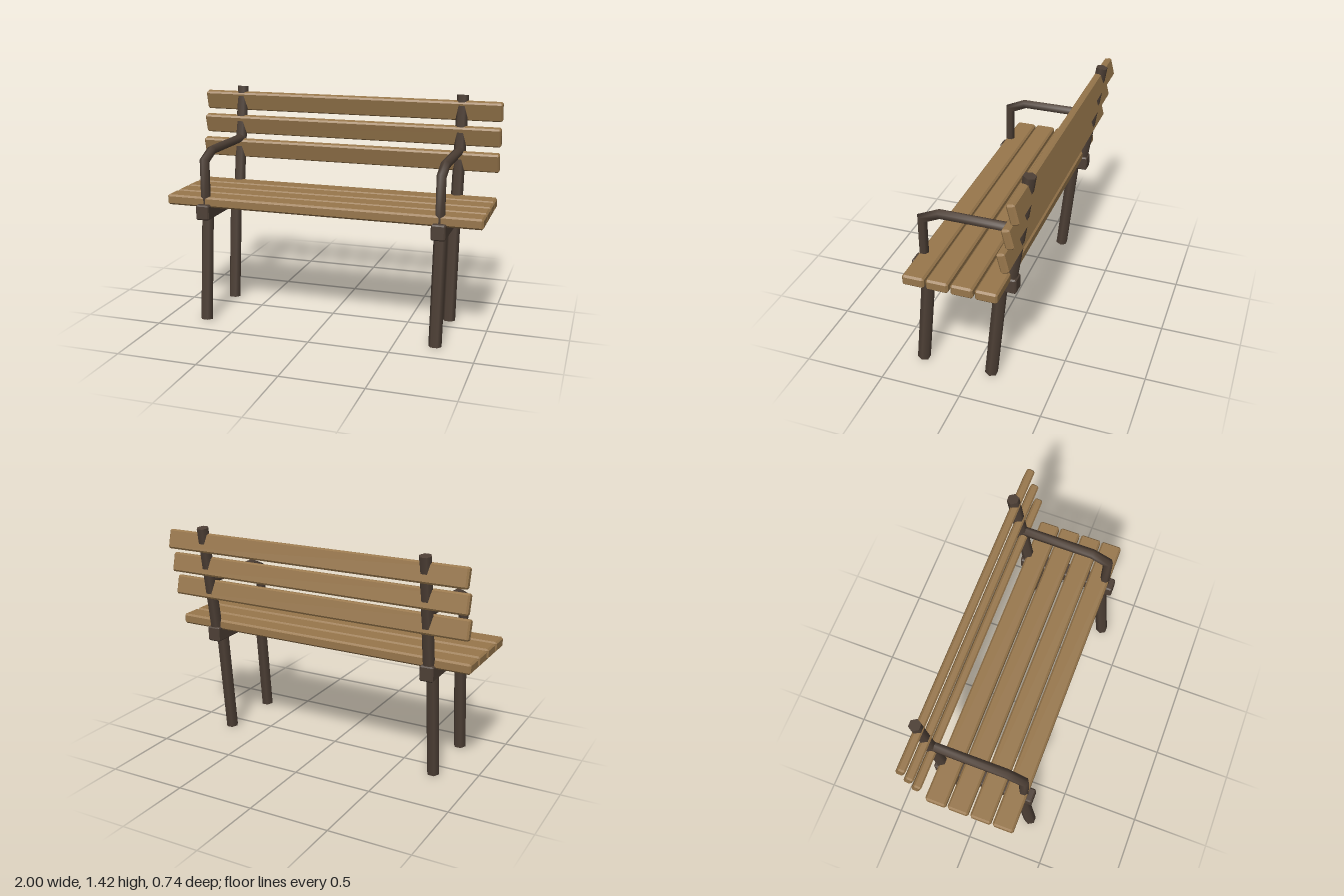
import * as THREE from 'three';
import { ConvexGeometry } from 'three/addons/geometries/ConvexGeometry.js';

const wood = new THREE.MeshStandardMaterial({ name: 'wood', color: 0x98774c });
const metal = new THREE.MeshStandardMaterial({ name: 'dark metal', color: 0x4e4036 });

// Box with every edge chamfered by c
function chamferBox(w, h, d, c) {
  const pts = [];
  for (const sx of [-1, 1]) for (const sy of [-1, 1]) for (const sz of [-1, 1]) {
    const x = w / 2, y = h / 2, z = d / 2;
    pts.push(
      new THREE.Vector3(sx * x, sy * (y - c), sz * (z - c)),
      new THREE.Vector3(sx * (x - c), sy * y, sz * (z - c)),
      new THREE.Vector3(sx * (x - c), sy * (y - c), sz * z));
  }
  return new ConvexGeometry(pts);
}

// Six-sided rod between two [y, z] points, with corners facing sideways
function rod(name, x, [y0, z0], [y1, z1], radius) {
  const length = Math.hypot(y1 - y0, z1 - z0);
  const geometry = new THREE.CylinderGeometry(radius, radius, length, 6, 1, false, Math.PI / 2);
  const mesh = new THREE.Mesh(geometry, metal);
  mesh.name = name;
  mesh.position.set(x, (y0 + y1) / 2, (z0 + z1) / 2);
  mesh.rotation.x = Math.atan2(z1 - z0, y1 - y0);
  return mesh;
}

// Six-sided bar following a mitred path of [y, z] points
function bentBar(path, radius) {
  const positions = [], index = [], sides = 6;
  const dirs = path.slice(1).map((p, i) =>
    new THREE.Vector2(p[1] - path[i][1], p[0] - path[i][0]).normalize());
  path.forEach(([y, z], i) => {
    const a = dirs[Math.max(i - 1, 0)], b = dirs[Math.min(i, dirs.length - 1)];
    const t = a.clone().add(b).normalize();
    const stretch = 1 / t.dot(a);
    for (let s = 0; s < sides; s++) {
      const angle = s / sides * Math.PI * 2;
      const out = Math.cos(angle) * radius * stretch;
      positions.push(Math.sin(angle) * radius, y - t.x * out, z + t.y * out);
    }
  });
  for (let i = 0; i < path.length - 1; i++) for (let s = 0; s < sides; s++) {
    const a = i * sides + s, b = i * sides + (s + 1) % sides;
    index.push(a, b, b + sides, a, b + sides, a + sides);
  }
  // End caps
  const last = (path.length - 1) * sides;
  for (let s = 1; s < sides - 1; s++) {
    index.push(0, s + 1, s, last, last + s, last + s + 1);
  }
  const geometry = new THREE.BufferGeometry();
  geometry.setAttribute('position', new THREE.Float32BufferAttribute(positions, 3));
  geometry.setIndex(index);
  geometry.computeVertexNormals();
  return geometry;
}

export function createModel() {
  const bench = new THREE.Group();
  bench.name = 'bench';

  // Seat slats
  const seatSlat = chamferBox(1.995, 0.065, 0.131, 0.011);
  [0.252, 0.11, -0.035, -0.178].forEach((z, i) => {
    const slat = new THREE.Mesh(seatSlat, wood);
    slat.name = 'seatSlat' + (i + 1);
    slat.position.set(0, 0.767, z);
    bench.add(slat);
  });

  // Backrest slats, each tipped forward
  const backSlat = chamferBox(1.995, 0.122, 0.05, 0.01);
  [[1.01, -0.274], [1.165, -0.302], [1.32, -0.33]].forEach(([y, z], i) => {
    const slat = new THREE.Mesh(backSlat, wood);
    slat.name = 'backSlat' + (i + 1);
    slat.position.set(0, y, z);
    slat.rotation.x = 0.245;
    bench.add(slat);
  });

  // Metal frame on each side
  const railGeometry = chamferBox(0.086, 0.095, 0.632, 0.008);
  const armGeometry = bentBar([[0.72, 0.291], [1.026, 0.291], [1.074, 0.184], [1.074, -0.28]], 0.03);
  for (const side of [1, -1]) {
    const frame = new THREE.Group();
    frame.name = side > 0 ? 'leftFrame' : 'rightFrame';
    const x = side * 0.743;

    const rail = new THREE.Mesh(railGeometry, metal);
    rail.name = 'seatRail';
    rail.position.set(x, 0.707, 0.039);

    const arm = new THREE.Mesh(armGeometry, metal);
    arm.name = 'armrest';
    arm.position.x = x;

    frame.add(
      rail, arm,
      rod('frontLeg', x, [0.004, 0.336], [0.7, 0.266], 0.04),
      rod('backLeg', x, [0.004, -0.107], [0.7, -0.177], 0.04),
      rod('backPost', x, [0.72, -0.232], [1.416, -0.339], 0.038));
    bench.add(frame);
  }
  return bench;
}
